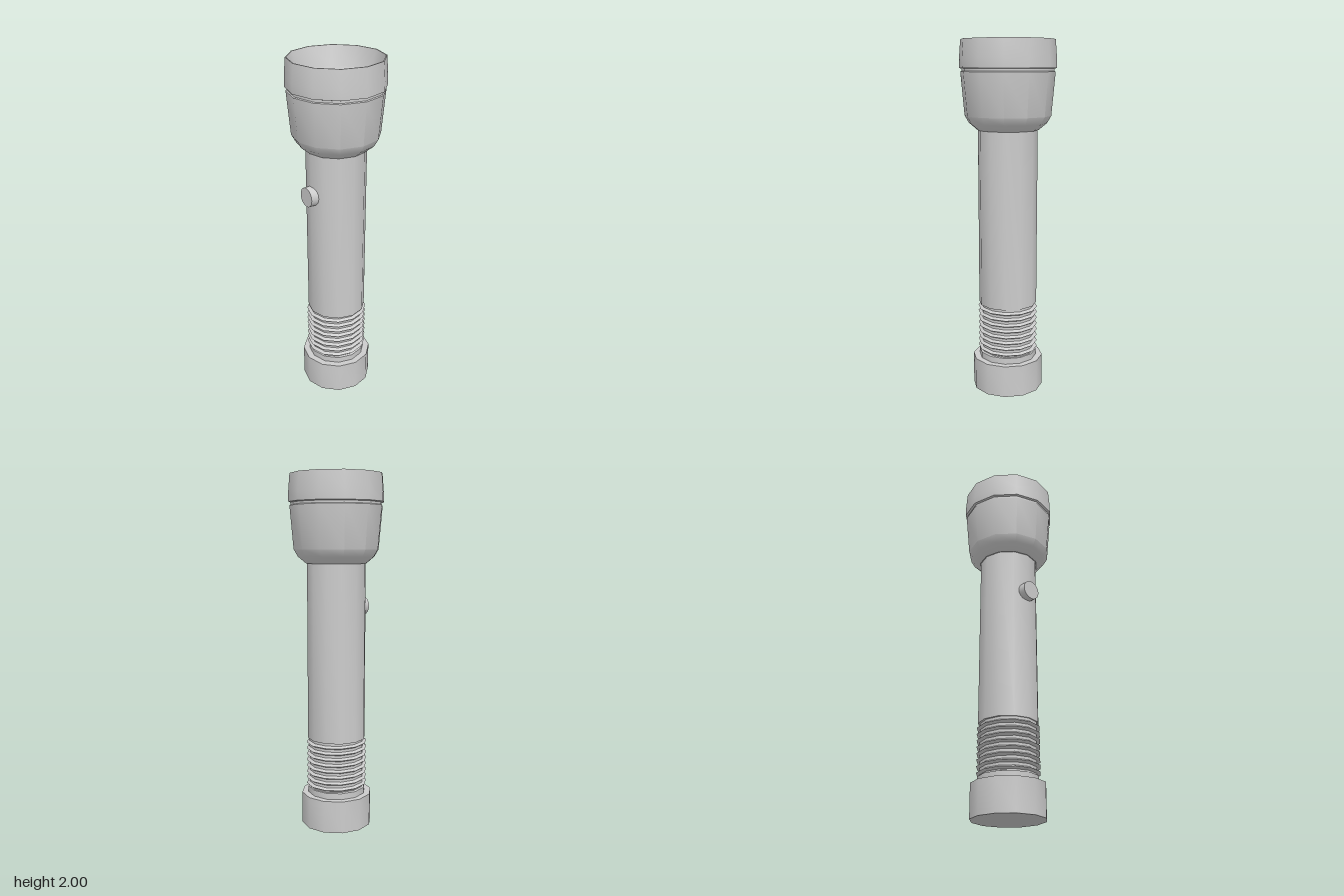
import * as THREE from 'three';
import { toCreasedNormals } from 'three/addons/utils/BufferGeometryUtils.js';

const SIDES = 12;
const material = new THREE.MeshStandardMaterial({ color: 0xcccccc });

// Twelve-sided turned part from [radius, y] pairs, outside running upwards
function turned(name, profile, crease = 0.6) {
  const points = profile.map(([r, y]) => new THREE.Vector2(r, y));
  const mesh = new THREE.Mesh(toCreasedNormals(new THREE.LatheGeometry(points, SIDES), crease), material);
  mesh.name = name;
  return mesh;
}

export function createModel() {
  const model = new THREE.Group();
  model.name = 'flashlight';

  // Tail cap
  model.add(turned('tailCap', [[0, 0], [0.203, 0], [0.203, 0.185], [0, 0.185]]));

  // Collar between cap and thread
  model.add(turned('collar', [[0.166, 0.18], [0.166, 0.22], [0.15, 0.225]]));

  // Threaded section: a core with evenly spaced pointed ridges
  const thread = [[0.16, 0.2]];
  const pitch = 0.035;
  for (let i = 0; i < 8; i++) {
    const y = 0.24 + i * pitch;
    thread.push([0.16, y - 0.01], [0.178, y], [0.16, y + 0.01]);
  }
  thread.push([0.16, 0.515]);
  const threadMesh = turned('thread', thread);
  threadMesh.scale.x = 0.96;
  model.add(threadMesh);

  // Barrel
  model.add(turned('barrel', [[0, 0.51], [0.167, 0.51], [0.167, 1.53], [0, 1.53]]));

  // Head: flared shell with a seam groove
  model.add(turned('head', [
    [0.16, 1.512], [0.172, 1.512], [0.218, 1.55], [0.241, 1.59], [0.262, 1.828],
    [0.256, 1.832], [0.256, 1.844], [0.268, 1.848], [0.268, 1.9], [0.26, 2],
    [0.254, 2], [0.225, 1.89],
  ]));

  // Faceted reflector with a flat floor
  model.add(turned('reflector', [[0.225, 1.89], [0.178, 1.75], [0, 1.75]], 0.3));

  // Push button on the front
  const button = new THREE.Mesh(
    toCreasedNormals(new THREE.CylinderGeometry(0.055, 0.055, 0.045, 20), 0.6), material);
  button.name = 'button';
  button.rotation.x = Math.PI / 2;
  button.position.set(0, 1.265, 0.176);
  model.add(button);

  return model;
}
